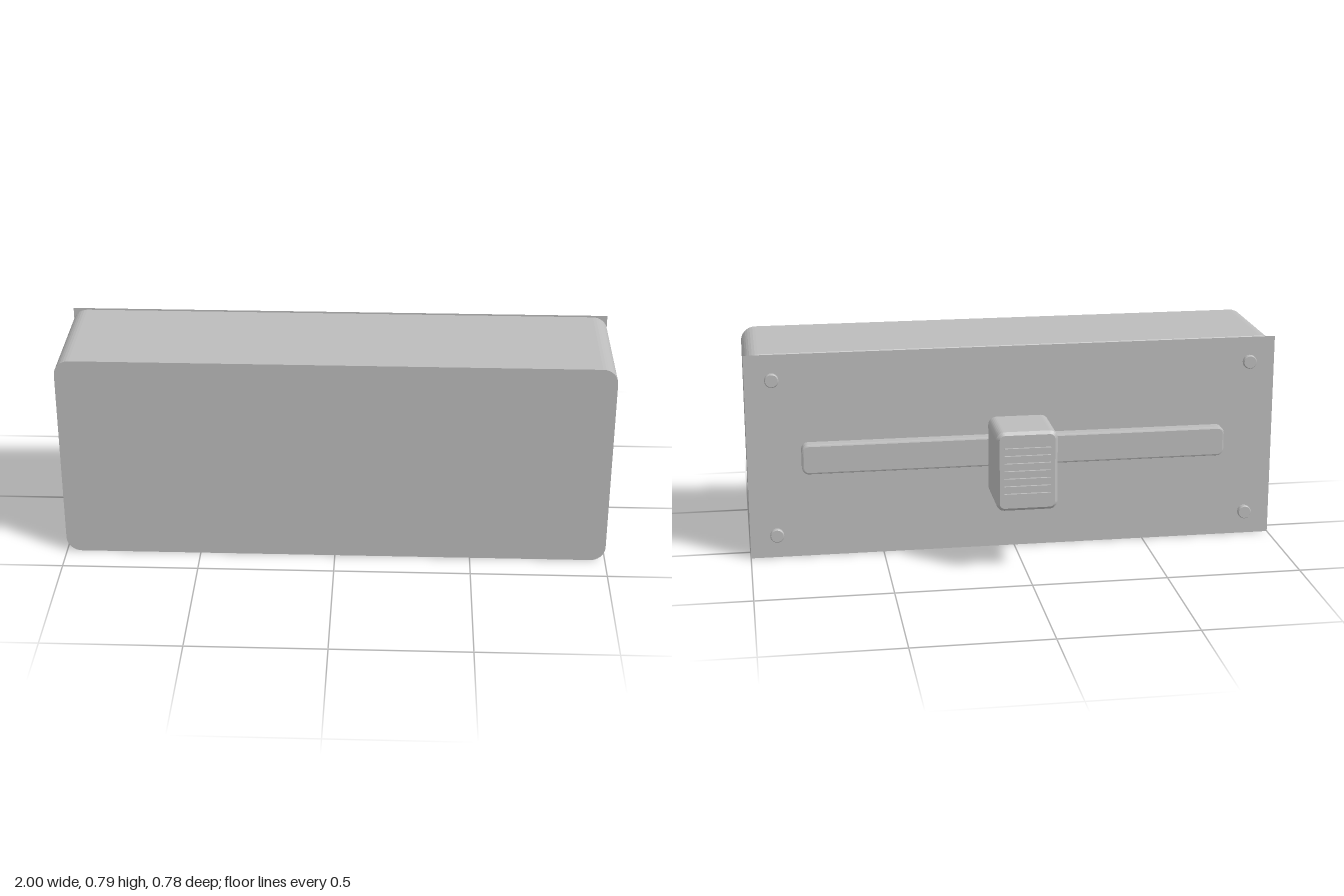
import * as THREE from 'three';

const grey = new THREE.MeshStandardMaterial({ color: 0xbcbcbc });
grey.name = 'plain grey';
const sheetGrey = grey.clone();
sheetGrey.name = 'plain grey sheet';
sheetGrey.side = THREE.DoubleSide;

// Rounded rectangle centred on the origin
function roundedRect(w, h, r) {
  const x = w / 2, y = h / 2, s = new THREE.Shape();
  s.absarc(x - r, y - r, r, 0, Math.PI / 2);
  s.absarc(-x + r, y - r, r, Math.PI / 2, Math.PI);
  s.absarc(-x + r, -y + r, r, Math.PI, Math.PI * 1.5);
  s.absarc(x - r, -y + r, r, Math.PI * 1.5, Math.PI * 2);
  s.closePath();
  return s;
}

// Rounded block with a flat front at zFront and a bevelled rim at zBack
function block(name, w, h, r, zBack, zFront, bevel, bevelSegments = 1) {
  const depth = zFront - zBack - bevel;
  const geo = new THREE.ExtrudeGeometry(roundedRect(w, h, r), {
    depth, curveSegments: 4, bevelEnabled: true, bevelSegments,
    bevelSize: bevel, bevelOffset: -bevel, bevelThickness: bevel,
  });
  // Press the front bevel flat
  const p = geo.attributes.position;
  for (let i = 0; i < p.count; i++) p.setZ(i, Math.min(p.getZ(i), depth));
  geo.computeVertexNormals();
  geo.translate(0, 0, zBack + bevel);
  const mesh = new THREE.Mesh(geo, grey);
  mesh.name = name;
  return mesh;
}

export function createModel() {
  const model = new THREE.Group();
  model.name = 'sliderControl';
  const midY = 0.393;

  // Housing
  const body = block('housing', 2, 0.785, 0.055, -0.065, 0.39, 0.012);
  body.position.y = midY;
  model.add(body);

  // Square-cornered face sheet
  const plate = new THREE.Mesh(new THREE.PlaneGeometry(2, 0.785), sheetGrey);
  plate.name = 'facePlate';
  plate.rotation.y = Math.PI;
  plate.position.set(0, midY, -0.067);
  model.add(plate);

  // Slide track
  const track = block('track', 1.6, 0.114, 0.025, -0.122, -0.08, 0.007, 2);
  track.position.y = 0.394;
  model.add(track);

  // Knob with grip ridges
  const knob = new THREE.Group();
  knob.name = 'knob';
  knob.position.y = 0.394;
  knob.add(block('knobBody', 0.225, 0.298, 0.03, -0.38, -0.165, 0.011));
  const ridgeGeo = new THREE.BoxGeometry(0.17, 0.01, 0.02);
  for (let i = -3; i <= 3; i++) {
    const ridge = new THREE.Mesh(ridgeGeo, grey);
    ridge.name = 'gripRidge';
    ridge.position.set(0, i * 0.0287, -0.379);
    knob.add(ridge);
  }
  model.add(knob);

  // Corner screws: shank and wider head
  const shankGeo = new THREE.CylinderGeometry(0.022, 0.022, 0.028, 20);
  const headGeo = new THREE.CylinderGeometry(0.026, 0.026, 0.012, 20);
  const tipGeo = new THREE.CylinderGeometry(0.023, 0.026, 0.004, 20);
  for (const x of [-0.9, 0.9]) {
    for (const y of [0.093, 0.693]) {
      const screw = new THREE.Group();
      screw.name = 'screw';
      screw.position.set(x, y, -0.065);
      screw.rotation.x = -Math.PI / 2;
      [[shankGeo, 0.002, 'shank'], [headGeo, 0.0205, 'head'], [tipGeo, 0.0285, 'headTop']]
        .forEach(([geo, h, name]) => {
          const part = new THREE.Mesh(geo, grey);
          part.name = name;
          part.position.y = h;
          screw.add(part);
        });
      model.add(screw);
    }
  }
  return model;
}
